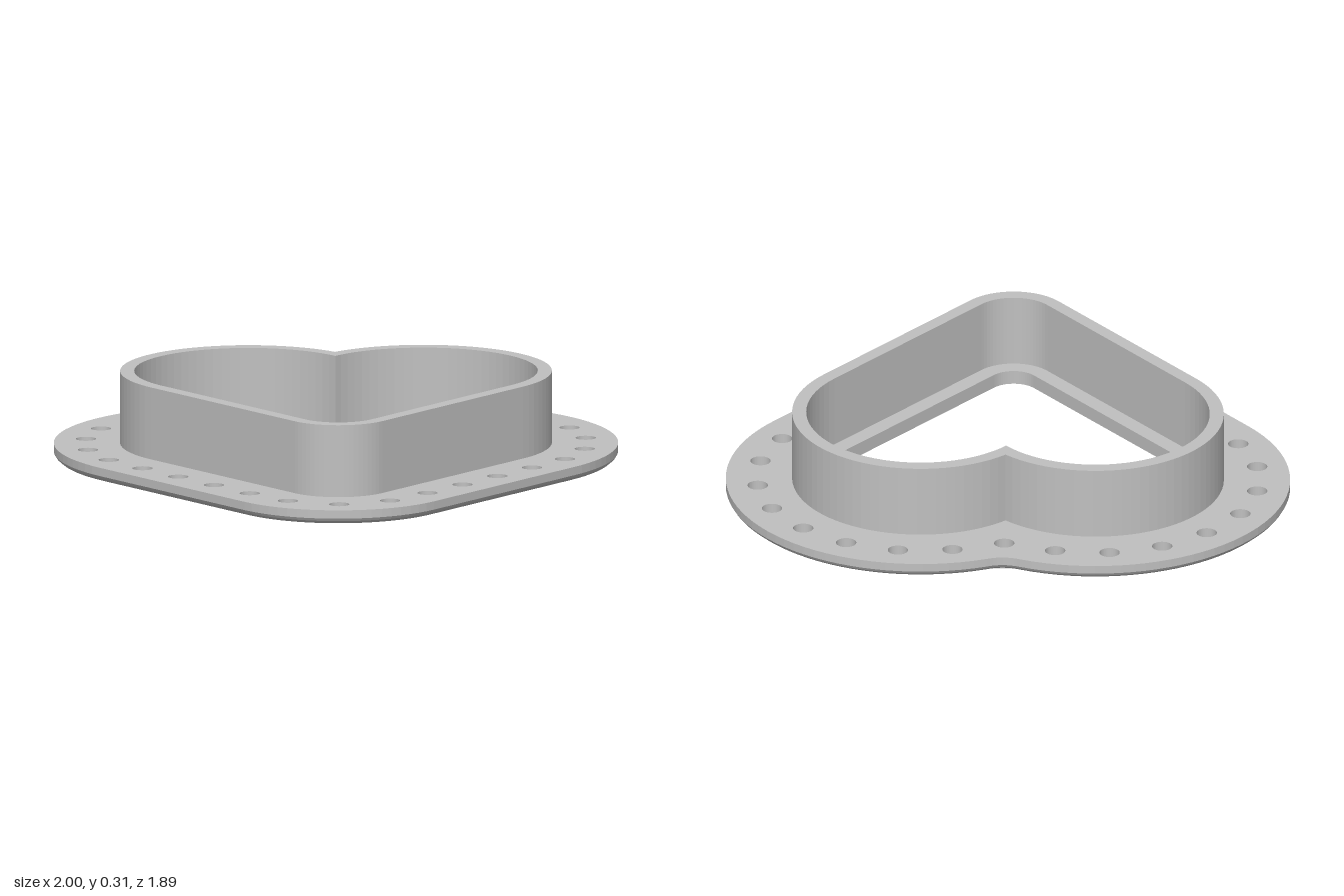
import * as THREE from 'three';

const LOBE_X = 0.31, LOBE_Y = 0.26;   // centre of a heart lobe (plan y points to the back)
const TIP_Y = -0.508, TIP_LESS = 0.253; // centre of the front tip arc, and how much smaller it is
const SIDE = -0.695;                  // direction the straight sides face

// Heart outline with lobe radius r; fillet is the half width of the rounding at the notch
function heart(r, fillet = 0) {
  const half = [];
  const arc = (cx, cy, rad, a0, a1, n) => {
    for (let i = 0; i <= n; i++) {
      const a = a0 + (a1 - a0) * i / n;
      half.push(new THREE.Vector2(cx + rad * Math.cos(a), cy + rad * Math.sin(a)));
    }
  };
  arc(0, TIP_Y, r - TIP_LESS, -Math.PI / 2, SIDE, 10);
  arc(LOBE_X, LOBE_Y, r, SIDE, Math.acos((fillet - LOBE_X) / r), 40);
  const cusp = LOBE_Y + Math.sqrt(r * r - LOBE_X * LOBE_X);
  if (fillet) {
    const p = half[half.length - 1];
    const curve = new THREE.QuadraticBezierCurve(p.clone(),
      new THREE.Vector2(0, cusp), new THREE.Vector2(-p.x, p.y));
    for (let i = 1; i <= 5; i++) half.push(curve.getPoint(i / 10));
  }
  half[0].x = 0;
  half[half.length - 1].x = 0;
  const mirrored = half.slice(1, -1).reverse().map(p => new THREE.Vector2(-p.x, p.y));
  return half.concat(mirrored);
}

// Extrude an outline with holes upward from y0 to y1
function slab(outline, holes, y0, y1, steps = 1) {
  const shape = new THREE.Shape(outline);
  shape.holes = holes;
  const g = new THREE.ExtrudeGeometry(shape,
    { depth: y1 - y0, steps, bevelEnabled: false, curveSegments: 24 });
  g.rotateX(-Math.PI / 2);
  g.translate(0, y0, 0);
  return g;
}

export function createModel() {
  const group = new THREE.Group();
  group.name = 'heartCutter';
  const grey = new THREE.MeshStandardMaterial({ color: 0xc0c0c0 });
  grey.name = 'grey';

  // Round holes along the flange, mirrored left and right (x, z)
  const spots = [[0, -0.775], [0.182, -0.83], [0.375, -0.84], [0.56, -0.785], [0.715, -0.673],
    [0.83, -0.518], [0.885, -0.335], [0.88, -0.14], [0.808, 0.04], [0.69, 0.19],
    [0.565, 0.34], [0.44, 0.49], [0.315, 0.637], [0.181, 0.772], [0, 0.835]];
  const holes = [new THREE.Path(heart(0.345, 0.035))];
  for (const [x, z] of spots) {
    for (const s of x ? [1, -1] : [1]) {
      holes.push(new THREE.Path().absarc(s * x, -z, 0.036, 0, Math.PI * 2, true));
    }
  }

  // Flange, its lower rim drawn in to round the bottom edge
  const R = 0.69, FILLET = 0.06;
  const outer = heart(R, FILLET);
  const flangeGeo = slab(outer, holes, 0, 0.05, 5);
  const key = (x, y) => x.toFixed(4) + ',' + y.toFixed(4);
  const index = new Map(outer.map((p, i) => [key(p.x, p.y), i]));
  const rims = [heart(R - 0.018, FILLET), heart(R - 0.006, FILLET)];
  const pos = flangeGeo.attributes.position;
  for (let i = 0; i < pos.count; i++) {
    const rim = rims[Math.round(pos.getY(i) / 0.01)];
    const k = index.get(key(pos.getX(i), -pos.getZ(i)));
    if (rim && k !== undefined) {
      pos.setX(i, rim[k].x);
      pos.setZ(i, -rim[k].y);
    }
  }
  flangeGeo.computeVertexNormals();
  const flange = new THREE.Mesh(flangeGeo, grey);
  flange.name = 'flange';

  // Upright heart wall, leaving a narrow ledge inside
  const wall = new THREE.Mesh(
    slab(heart(0.455), [new THREE.Path(heart(0.405))], 0.05, 0.31), grey);
  wall.name = 'wall';

  group.add(flange, wall);
  return group;
}
